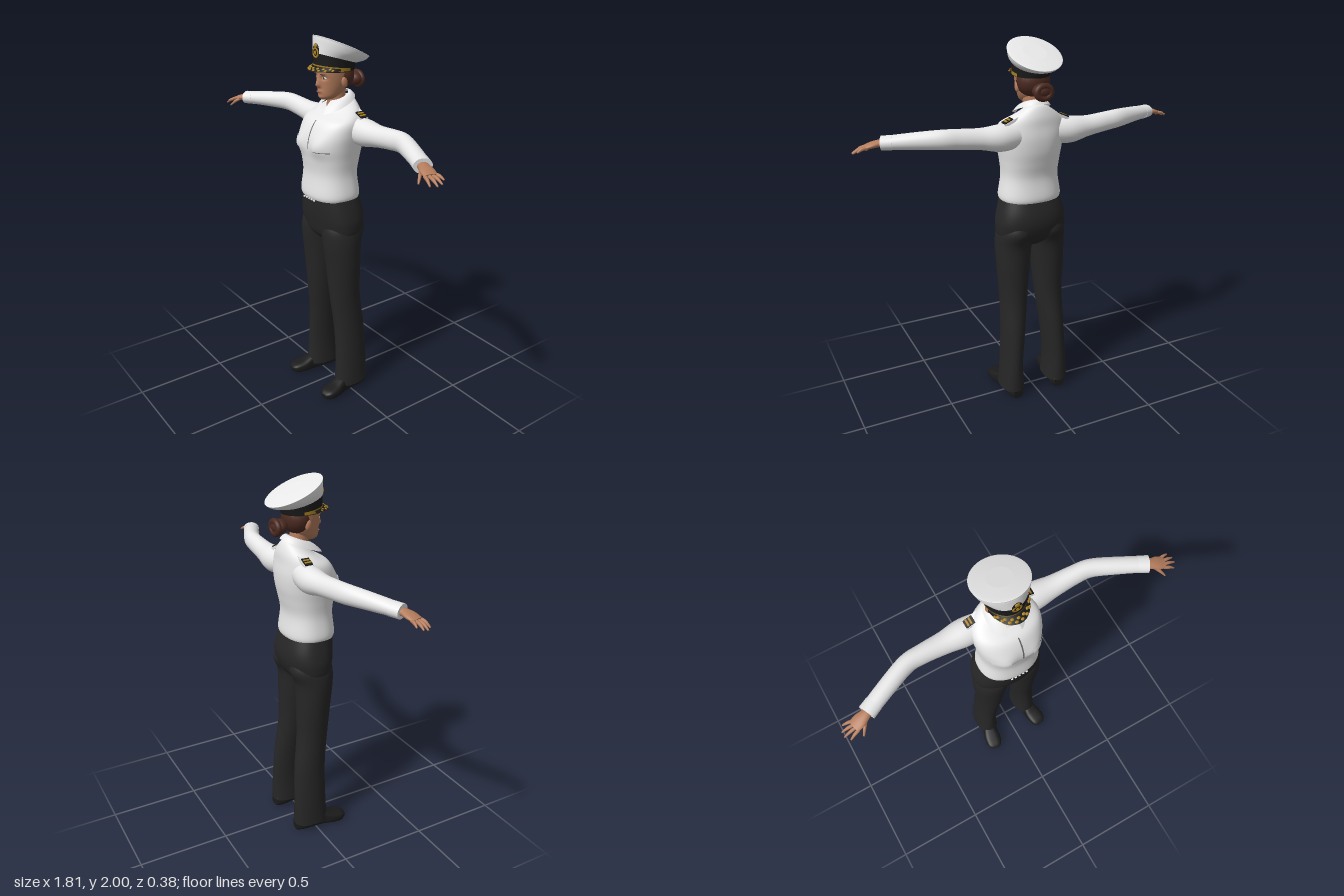
import * as THREE from 'three';

const mat = (name, color, side = THREE.FrontSide) => new THREE.MeshStandardMaterial({ name, color, side });
const white = mat('white cloth', 0xe8e8e8, THREE.DoubleSide);
const trouser = mat('charcoal cloth', 0x262626);
const black = mat('black leather', 0x1b1b1b, THREE.DoubleSide);
const skin = mat('skin', 0xb47c5c);
const hairMat = mat('brown hair', 0x4b2a20);
const gold = mat('gold braid', 0xa8801f, THREE.DoubleSide);
const lipMat = mat('lips', 0x9a5848);
const seam = mat('grey seam', 0x6c6c6c, THREE.DoubleSide);

// Quad grid from a point function; u runs around, j runs along
function grid(nu, nv, fn, closed = false) {
  const cols = closed ? nu : nu + 1, pos = [], idx = [];
  for (let j = 0; j <= nv; j++) for (let i = 0; i < cols; i++) pos.push(...fn(i / nu, j).toArray());
  for (let j = 0; j < nv; j++) for (let i = 0; i < nu; i++) {
    const a = j * cols + i, c = j * cols + (i + 1) % cols, b = a + cols, d = c + cols;
    idx.push(a, b, c, c, b, d);
  }
  const g = new THREE.BufferGeometry();
  g.setAttribute('position', new THREE.Float32BufferAttribute(pos, 3));
  g.setIndex(idx);
  g.computeVertexNormals();
  return g;
}

// Smooth blend between cross-sections [x, y, z, halfWidth, front, back, power, shear]
function sampler(rows) {
  const full = rows.map(r => [...r, ...[2, 0].slice(r.length - 6)]), last = rows.length - 1;
  return t => {
    t = Math.min(Math.max(t, 0), last);
    const i = Math.min(Math.floor(t), last - 1), f = t - i;
    const [p0, p1, p2, p3] = [-1, 0, 1, 2].map(k => full[Math.min(Math.max(i + k, 0), last)]);
    return p1.map((v, k) => {
      const m1 = (p2[k] - p0[k]) / 2, m2 = (p3[k] - v) / 2, d = p2[k] - v;
      return v + f * (m1 + f * (3 * d - 2 * m1 - m2 + f * (m1 + m2 - 2 * d)));
    });
  };
}
const spow = (v, p) => Math.sign(v) * Math.pow(Math.abs(v), 2 / p);

// Surface of a body: level rings, or rings square to the path when along is set
function surface(rows, along = false, post = p => p) {
  const at = sampler(rows);
  const fn = (u, t) => {
    const [x, y, z, a, f, b, p, sh] = at(t);
    const c = a * spow(Math.cos(u * 2 * Math.PI), p), s0 = spow(Math.sin(u * 2 * Math.PI), p);
    const s = s0 * (s0 > 0 ? f : b);
    if (!along) return post(new THREE.Vector3(x + c, y + sh * s, z + s));
    const T = new THREE.Vector3(...at(t + 0.05)).sub(new THREE.Vector3(...at(t - 0.05))).normalize();
    const U = new THREE.Vector3().crossVectors(T, new THREE.Vector3(0, 1, 0)).normalize();
    const V = new THREE.Vector3().crossVectors(U, T);
    return post(new THREE.Vector3(x, y, z).addScaledVector(U, c).addScaledVector(V, s));
  };
  fn.centre = t => new THREE.Vector3(...at(t).slice(0, 3));
  fn.last = rows.length - 1;
  return fn;
}

// Closed skin with flat end caps
function loft(surf, n = 32, steps = 6) {
  const N = surf.last * steps;
  return grid(n, N + 4, (u, j) => {
    if (j === 0) return surf.centre(0);
    if (j === N + 4) return surf.centre(surf.last);
    return surf(u, Math.min(Math.max(j - 2, 0), N) / steps);
  }, true);
}

// Thin plate that follows part of a surface
function patch(surf, u0, u1, t0, t1, off, nu = 12, nt = 8) {
  return grid(nu, nt, (k, j) => {
    const u = u0 + (u1 - u0) * k, t = t0 + (t1 - t0) * j / nt, p = surf(u, t);
    const dt = surf(u, t + 0.01).sub(surf(u, t - 0.01)), du = surf(u + 0.002, t).sub(surf(u - 0.002, t));
    return p.addScaledVector(dt.cross(du).normalize(), off);
  });
}

export function createModel() {
  const root = new THREE.Group();
  root.name = 'uniformed officer';
  const add = (name, geo, m, pos = [0, 0, 0], scale = [1, 1, 1], rot = [0, 0, 0]) => {
    const mesh = new THREE.Mesh(geo, m);
    mesh.name = name;
    mesh.position.set(...pos); mesh.scale.set(...scale); mesh.rotation.set(...rot);
    root.add(mesh);
    return mesh;
  };
  const ball = new THREE.SphereGeometry(1, 24, 16);
  const bump = (x, y, cx, cy, w, h) => Math.exp(-(((x - cx) / w) ** 2) - ((y - cy) / h) ** 2);

  // Shirt body
  const torso = surface([
    [0, 1.17, .02, .163, .135, .125, 2.3], [0, 1.2, .02, .168, .14, .13, 2.3], [0, 1.3, .02, .153, .13, .12, 2.3],
    [0, 1.38, .02, .158, .138, .135, 2.3], [0, 1.45, .02, .168, .146, .15, 2.3], [0, 1.52, .015, .176, .138, .15, 2.3],
    [0, 1.58, 0, .172, .118, .13, 2.2], [0, 1.62, -.02, .14, .09, .105, 2, -.15],
    [0, 1.65, -.025, .085, .08, .078, 2, -.45], [0, 1.668, -.025, .05, .05, .05, 2, -.45],
  ], false, p => {
    if (p.z > 0) p.z += .016 * bump(Math.abs(p.x), p.y, .08, 1.46, .05, .05);
    return p;
  });
  add('shirt body', loft(torso, 64), white);
  add('placket seam', patch(torso, .241, .246, 3.9, 6.1, .002, 2), seam);
  for (const s of [1, -1]) {
    const u = d => .25 - s * d;
    const [u0, u1] = [u(.05), u(.145)].sort();
    add('pocket flap', patch(torso, u0, u1, 3.9, 4.5, .005), white);
    add('pocket seam', patch(torso, u0, u1, 3.84, 3.91, .004, 12, 2), seam);
  }

  // Folded collar, open at the throat
  add('collar', grid(48, 6, (k, j) => {
    const phi = .1 * Math.PI + 1.8 * Math.PI * k, w = ((1 + Math.cos(phi)) / 2) ** 4, v = j / 6;
    const r = .054 + v * (.036 + .042 * w), c = Math.cos(phi) * r;
    return new THREE.Vector3(Math.sin(phi) * r, 1.695 - .38 * c - v * .034 + .008 * Math.sin(v * Math.PI), -.025 + c);
  }), white);

  // Trousers
  add('trouser seat', loft(surface([
    [0, .915, .01, .07, .06, .06], [0, .96, .012, .178, .105, .11, 2.2], [0, 1.03, .01, .196, .125, .135, 2.3],
    [0, 1.1, .012, .186, .133, .138, 2.3], [0, 1.19, .02, .16, .13, .12, 2.3],
  ]), 48), trouser);
  for (let i = 0; i < 5; i++)
    add('belt stud', new THREE.BoxGeometry(.012, .007, .006), white, [(i - 2) * .022, 1.167, .157]);

  for (const s of [1, -1]) {
    const rows = list => list.map(([x, ...rest]) => [x * s, ...rest]);
    add('trouser leg', loft(surface(rows([
      [.138, .045, -.02, .066, .1, .1, 2.3], [.136, .2, -.021, .061, .095, .098], [.122, .4, -.016, .066, .09, .093],
      [.108, .6, .002, .077, .09, .087], [.103, .8, .01, .093, .1, .094], [.098, .92, .015, .101, .108, .103],
      [.09, 1, .012, .1, .112, .13], [.085, 1.07, .01, .075, .09, .11],
    ]))), trouser);
    add('shoe', loft(surface(rows([
      [.13, .03, -.115, .03, .03, .03, 3], [.134, .03, -.07, .045, .06, .03, 3], [.145, .03, .04, .041, .06, .03, 3],
      [.157, .03, .11, .05, .036, .03, 3], [.166, .03, .165, .043, .022, .03, 3], [.17, .025, .188, .02, .01, .02, 3],
    ]), true)), black);

    // Sleeve and cuff
    add('sleeve', loft(surface(rows([
      [.07, 1.54, -.045, .06, .065, .06], [.19, 1.533, -.055, .07, .07, .07], [.3, 1.538, -.053, .056, .057, .053],
      [.41, 1.548, -.05, .048, .054, .048], [.5, 1.555, -.04, .045, .051, .047], [.62, 1.552, .01, .044, .043, .041],
      [.75, 1.545, .07, .042, .033, .034],
    ]), true)), white);
    add('cuff', loft(surface(rows([
      [.715, 1.547, .053, .044, .036, .037], [.765, 1.544, .077, .045, .035, .036],
    ]), true)), white);

    // Hand
    add('palm', loft(surface(rows([
      [.745, 1.545, .068, .024, .02, .02], [.775, 1.543, .081, .028, .018, .018],
      [.81, 1.536, .092, .036, .015, .016], [.845, 1.526, .102, .033, .01, .011],
    ]), true), 20), skin);
    const digits = [
      [[.838, 1.527, .074], [.888, 1.513, .066]], [[.843, 1.526, .092], [.905, 1.503, .091]],
      [[.84, 1.525, .109], [.904, 1.498, .116]], [[.832, 1.525, .126], [.884, 1.498, .142]],
      [[.785, 1.535, .105], [.825, 1.494, .154]],
    ];
    for (const [a, b] of digits) {
      const mid = a.map((v, k) => (v + b[k]) / 2 + (k === 1 ? .005 : 0));
      add('finger', loft(surface(rows([
        [...a, .009, .008, .008], [...mid, .008, .008, .008], [...b, .004, .004, .004],
      ]), true), 12, 4), skin);
    }

    // Shoulder board
    const tilt = [0, 0, -s * .42];
    add('shoulder strap', new THREE.BoxGeometry(.085, .014, .05), white, [s * .14, 1.614, -.058], [1, 1, 1], tilt);
    add('shoulder board', new THREE.BoxGeometry(.05, .016, .042), black, [s * .156, 1.612, -.058], [1, 1, 1], tilt);
    for (const d of [-.008, .008])
      add('rank stripe', new THREE.BoxGeometry(.01, .02, .036), gold, [s * (.156 + d), 1.612 - d * .45, -.058], [1, 1, 1], tilt);

    // Ear and eye
    add('ear', ball, skin, [s * .082, 1.773, -.008], [.01, .027, .017], [.2, 0, 0]);
    add('eye', ball, white, [s * .032, 1.795, .077], [.013, .006, .008], [0, s * .3, 0]);
    add('iris', ball, hairMat, [s * .032, 1.795, .082], [.0055, .0055, .004]);
    add('eyebrow', ball, hairMat, [s * .034, 1.813, .087], [.019, .003, .005], [0, s * .4, 0]);
  }

  // Head with nose, sockets, mouth and chin shaped by rule
  add('head', loft(surface([
    [0, 1.683, .04, .026, .033, .04], [0, 1.7, .03, .048, .055, .06], [0, 1.73, .01, .064, .078, .07],
    [0, 1.77, 0, .076, .09, .08], [0, 1.81, 0, .082, .095, .085], [0, 1.85, 0, .085, .094, .09], [0, 1.89, 0, .08, .09, .09],
  ], false, p => {
    if (p.z < .03) return p;
    const ax = Math.abs(p.x), n = p.y > 1.757 ? (1.808 - p.y) / .051 : (p.y - 1.741) / .016;
    p.z += .024 * Math.max(0, n) * Math.exp(-((p.x / .012) ** 2));
    p.z -= .009 * bump(ax, p.y, .031, 1.795, .017, .011);
    p.z += .005 * bump(ax, p.y, 0, 1.722, .022, .009) + .005 * bump(ax, p.y, 0, 1.695, .02, .01);
    return p;
  }), 96, 8), skin);
  add('lips', ball, lipMat, [0, 1.723, .09], [.021, .006, .006]);
  add('neck', loft(surface([
    [0, 1.59, -.02, .06, .06, .05], [0, 1.66, -.018, .048, .05, .05], [0, 1.73, -.012, .048, .05, .05],
  ])), skin);

  // Hair and bun
  add('hair', ball, hairMat, [0, 1.8, -.03], [.089, .082, .074]);
  add('bun', ball, hairMat, [0, 1.765, -.128], [.052, .038, .04]);
  add('bun coil', new THREE.TorusGeometry(.031, .016, 10, 28), hairMat, [0, 1.762, -.15], [1.2, 1, 1]);

  // Peaked cap
  const band = surface([
    [0, 1.825, -.002, .093, .106, .106, 2, .02], [0, 1.855, -.003, .095, .107, .11, 2, .17],
    [0, 1.886, -.004, .098, .108, .113, 2, .3],
  ]);
  add('cap band', loft(band, 48), black);
  add('cap cord', patch(band, -.05, .55, .2, .75, .003, 40, 4), gold);
  add('cap crown', loft(surface([
    [0, 1.884, -.004, .1, .11, .115, 2, .3], [0, 1.905, -.028, .124, .13, .132, 2, .38],
    [0, 1.93, -.044, .135, .142, .143, 2, .44], [0, 1.938, -.045, .129, .136, .137, 2, .45],
    [0, 1.945, -.045, .06, .063, .063, 2, .45],
  ]), 64), white);

  // Visor with leaf braid
  const visor = (k, v) => {
    const t = Math.PI * (.06 + .88 * k), s = Math.sin(t);
    return new THREE.Vector3((.094 + .006 * v) * Math.cos(t), 1.846 + .012 * s - v * (.012 + .014 * s), (.1 + .045 * v) * s);
  };
  add('visor', grid(40, 4, (k, j) => visor(k, j / 4)), black);
  for (let i = 0; i < 15; i++) {
    const k = .12 + .76 * i / 14, p = visor(k, i % 2 ? .5 : .78);
    add('braid leaf', ball, gold, [p.x, p.y + .001, p.z], [.009, .004, .007], [.5, (k - .5) * -2.4, 0]);
  }

  // Cap badge
  add('badge backing', ball, black, [0, 1.928, .106], [.025, .036, .006]);
  add('badge wreath', new THREE.TorusGeometry(.02, .0055, 8, 28), gold, [0, 1.919, .109], [1, 1.05, .7]);
  add('badge centre', ball, gold, [0, 1.919, .11], [.009, .012, .005]);
  add('badge crest', ball, gold, [0, 1.953, .109], [.013, .011, .006]);
  return root;
}
